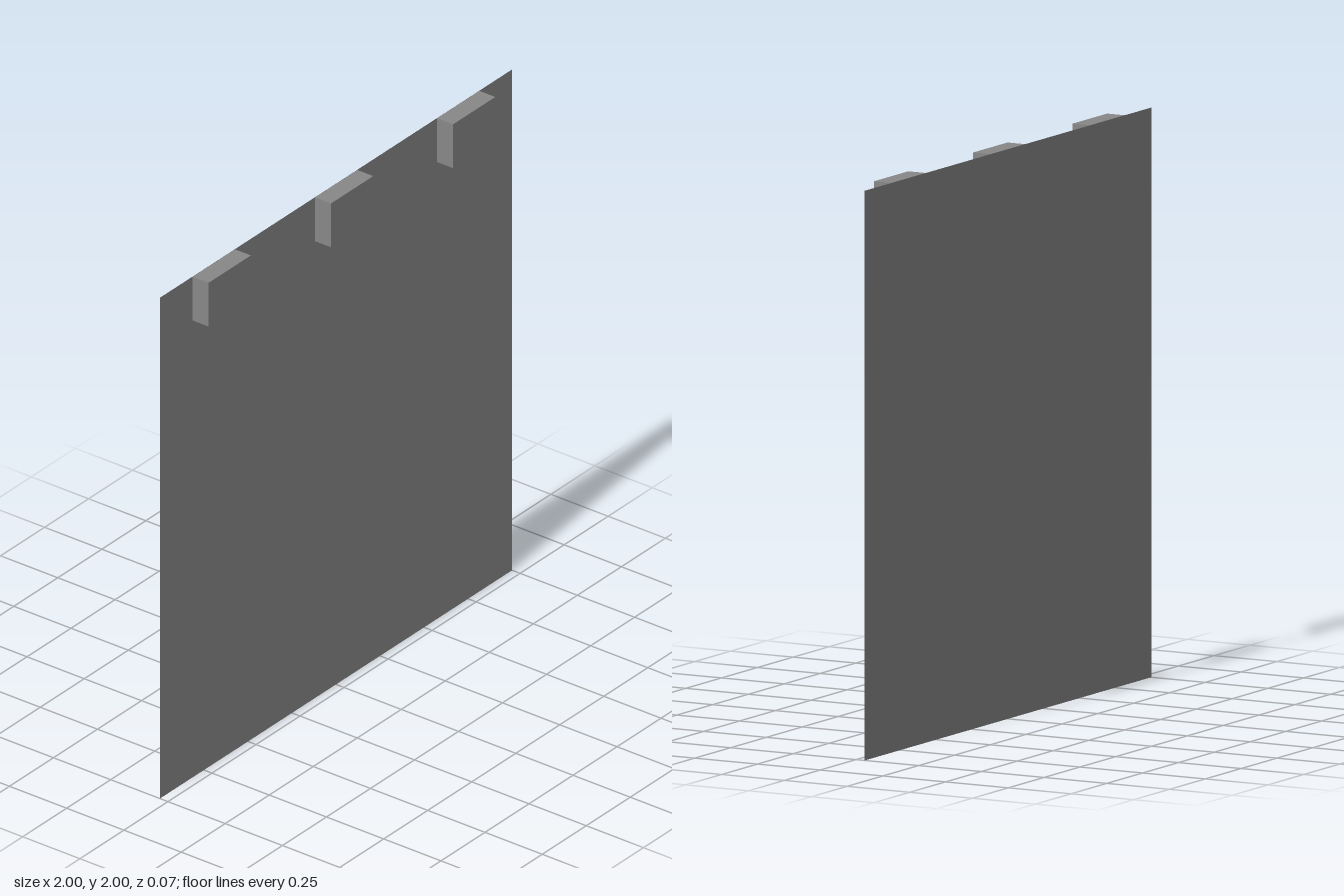
import * as THREE from 'three';

export function createModel() {
  const group = new THREE.Group();
  const color = 0x888888;
  const backZ = -0.035;

  // Thin square sheet, visible from both sides
  const sheetMaterial = new THREE.MeshStandardMaterial({ color, side: THREE.DoubleSide });
  const panel = new THREE.Mesh(new THREE.PlaneGeometry(2, 2), sheetMaterial);
  panel.name = 'panel';
  panel.position.set(0, 1, backZ);
  group.add(panel);

  // Three blocks along the top edge of the front face
  const blockMaterial = new THREE.MeshStandardMaterial({ color });
  const width = 0.24, height = 0.175, depth = 0.07;
  const blockGeometry = new THREE.BoxGeometry(width, height, depth);
  const blocks = { rightBlock: -0.695, middleBlock: 0, leftBlock: 0.693 };
  for (const [name, x] of Object.entries(blocks)) {
    const block = new THREE.Mesh(blockGeometry, blockMaterial);
    block.name = name;
    block.position.set(x, 2 - height / 2, backZ + depth / 2 + 0.0005);
    group.add(block);
  }

  return group;
}
